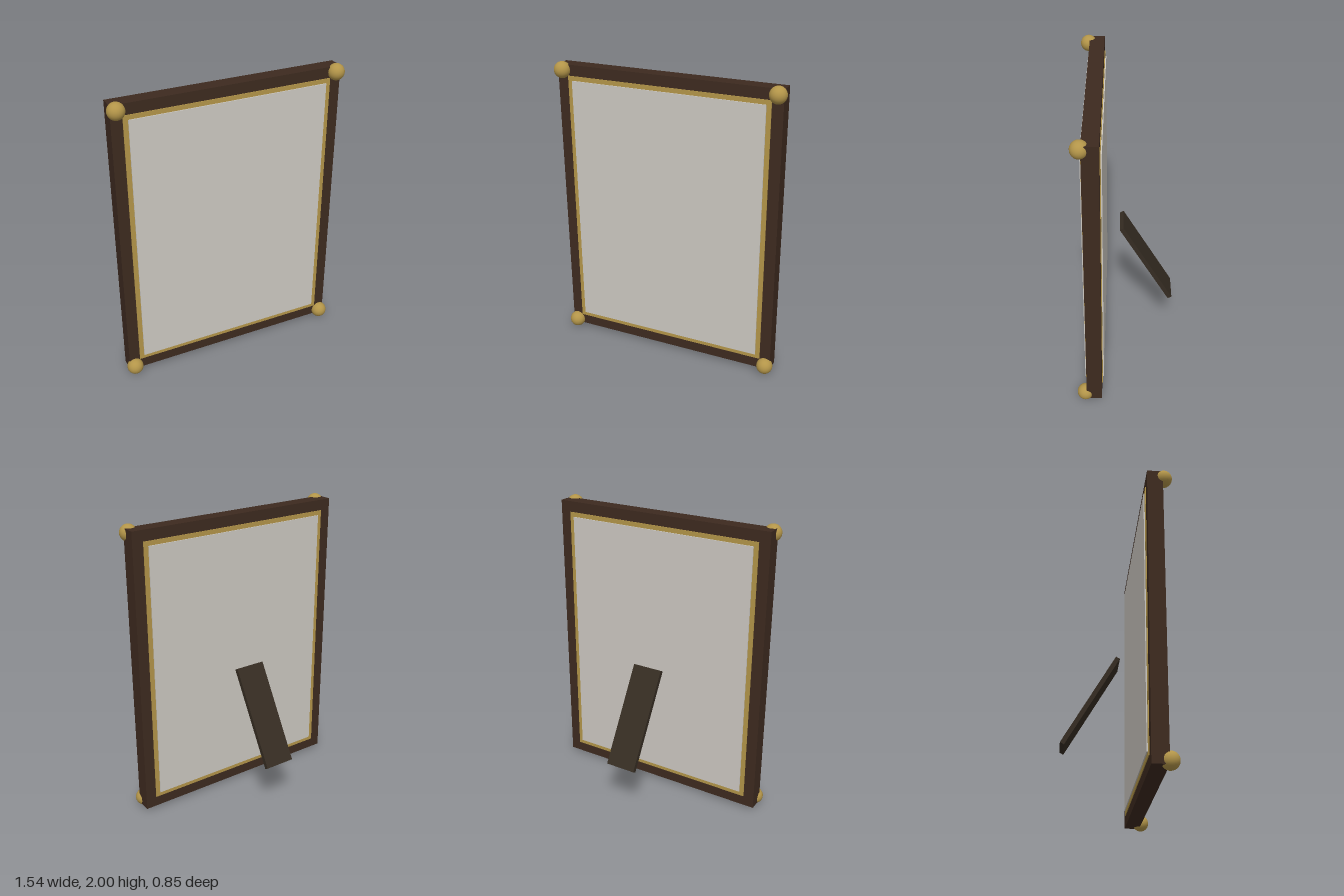
import * as THREE from 'three';

const material = (color) => new THREE.MeshStandardMaterial({ color });

// Extruded rectangular ring, from depth z0 to z1
function ring(name, w, h, border, z0, z1, mat) {
  const rect = (T, a, b) => new T([
    new THREE.Vector2(-a, -b), new THREE.Vector2(a, -b),
    new THREE.Vector2(a, b), new THREE.Vector2(-a, b),
  ]);
  const shape = rect(THREE.Shape, w / 2, h / 2);
  shape.holes.push(rect(THREE.Path, w / 2 - border, h / 2 - border));
  const geo = new THREE.ExtrudeGeometry(shape, { depth: z1 - z0, bevelEnabled: false });
  geo.translate(0, 0, z0);
  const mesh = new THREE.Mesh(geo, mat);
  mesh.name = name;
  return mesh;
}

function box(name, w, h, d, mat) {
  const mesh = new THREE.Mesh(new THREE.BoxGeometry(w, h, d), mat);
  mesh.name = name;
  return mesh;
}

export function createModel() {
  const wood = material(0x3d2a1f);
  const gold = material(0xb39549);
  const pane = material(0xccc8c1);
  const darkWood = material(0x352c22);
  const midY = 1.0025;

  const model = new THREE.Group();
  model.name = 'standingFrame';

  // Whole piece is turned about the vertical; local z = 0 is the frame's back
  const body = new THREE.Group();
  body.name = 'turnedBody';
  body.position.set(-0.0275, 0, 0.0725);
  body.rotation.y = Math.PI / 12;
  model.add(body);

  // Wooden frame, gilt inner border and the panel standing slightly proud
  const frame = ring('frame', 1.54, 1.955, 0.08, 0, 0.102, wood);
  const trim = ring('giltTrim', 1.392, 1.81, 0.04, -0.005, 0.107, gold);
  const panel = box('panel', 1.33, 1.75, 0.126, pane);
  for (const part of [frame, trim, panel]) {
    part.position.y = midY;
    body.add(part);
  }
  panel.position.z = 0.051;

  // Corner knobs on the front
  const knob = new THREE.SphereGeometry(0.055, 24, 16);
  for (const sx of [-1, 1]) {
    for (const y of [0.055, 1.945]) {
      const mesh = new THREE.Mesh(knob, gold);
      mesh.name = 'cornerKnob';
      mesh.position.set(sx * 0.735, y, 0.11);
      body.add(mesh);
    }
  }

  // Tilted rear prop
  const prop = box('rearProp', 0.21, 0.7, 0.03, darkWood);
  prop.position.set(0, 0.655, -0.301);
  prop.rotation.x = Math.PI / 6;
  body.add(prop);

  return model;
}
